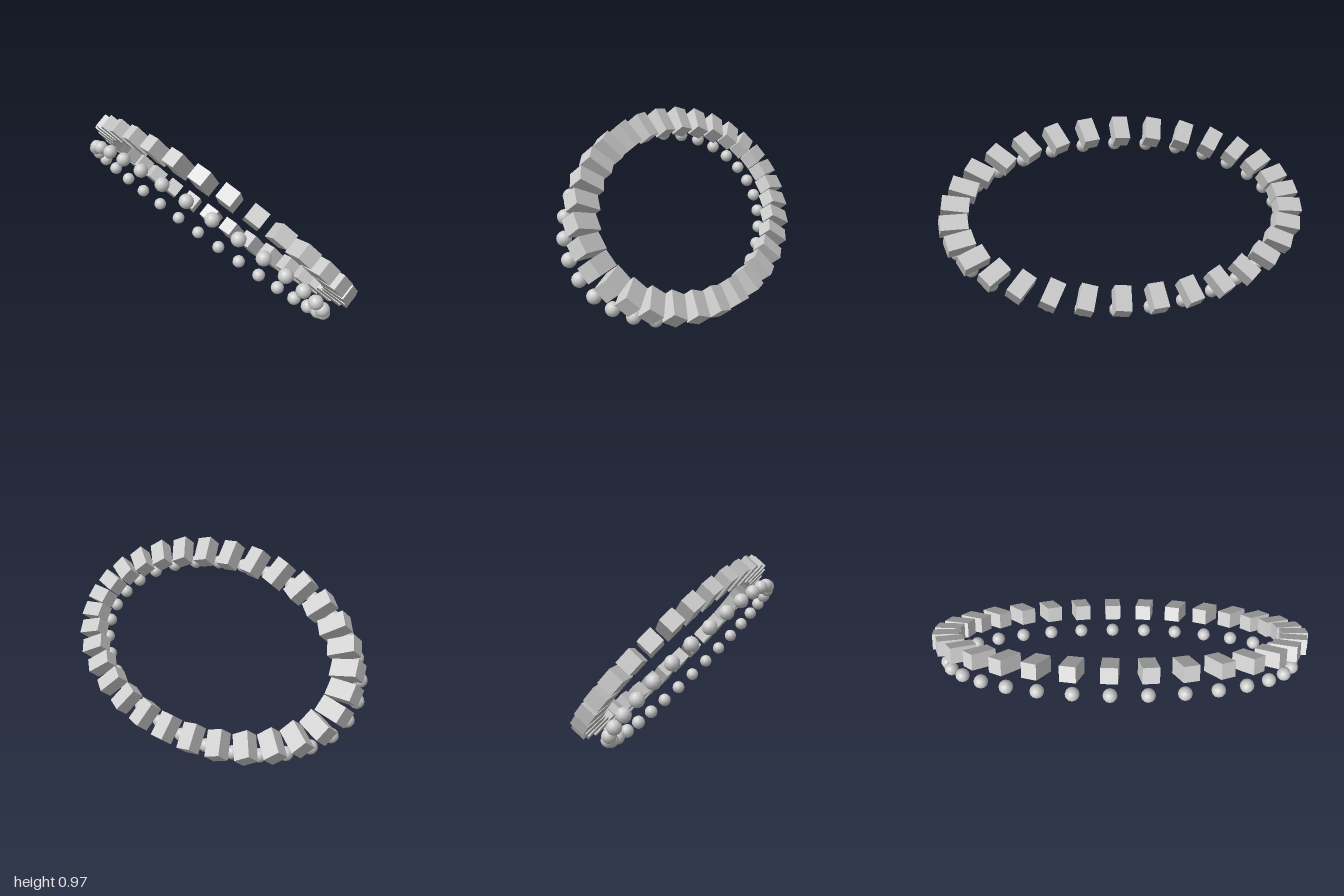
import * as THREE from 'three';

const COUNT = 31;        // blocks and balls around the ring
const RX = 0.93;         // ellipse half width
const RY = 0.5;          // ellipse half height, measured in the tilted plane
const TILT = THREE.MathUtils.degToRad(39.7);

export function createModel() {
  const model = new THREE.Group();
  const material = new THREE.MeshStandardMaterial({ color: 0xcccccc });

  // Tilted plane that carries both rings
  const ring = new THREE.Group();
  ring.name = 'tiltedRing';
  ring.position.set(0, 0.507, -0.0275);
  ring.rotation.x = TILT;
  model.add(ring);

  const blocks = new THREE.Group();
  blocks.name = 'blockRing';
  const balls = new THREE.Group();
  balls.name = 'ballRing';
  balls.position.z = 0.13;
  ring.add(blocks, balls);

  const blockGeometry = new THREE.BoxGeometry(0.14, 0.085, 0.083);
  const ballGeometry = new THREE.SphereGeometry(0.037, 12, 8);

  for (let i = 0; i < COUNT; i++) {
    const a = (i / COUNT) * Math.PI * 2;
    const x = RX * Math.cos(a);
    const y = RY * Math.sin(a);

    // Block turned outward by its step angle
    const block = new THREE.Mesh(blockGeometry, material);
    block.name = 'block';
    block.position.set(x, y, 0);
    block.rotation.z = a;
    blocks.add(block);

    // Ball in front of the block, kept upright
    const ball = new THREE.Mesh(ballGeometry, material);
    ball.name = 'ball';
    ball.position.set(x, y, 0);
    ball.rotation.x = -TILT;
    balls.add(ball);
  }
  return model;
}
